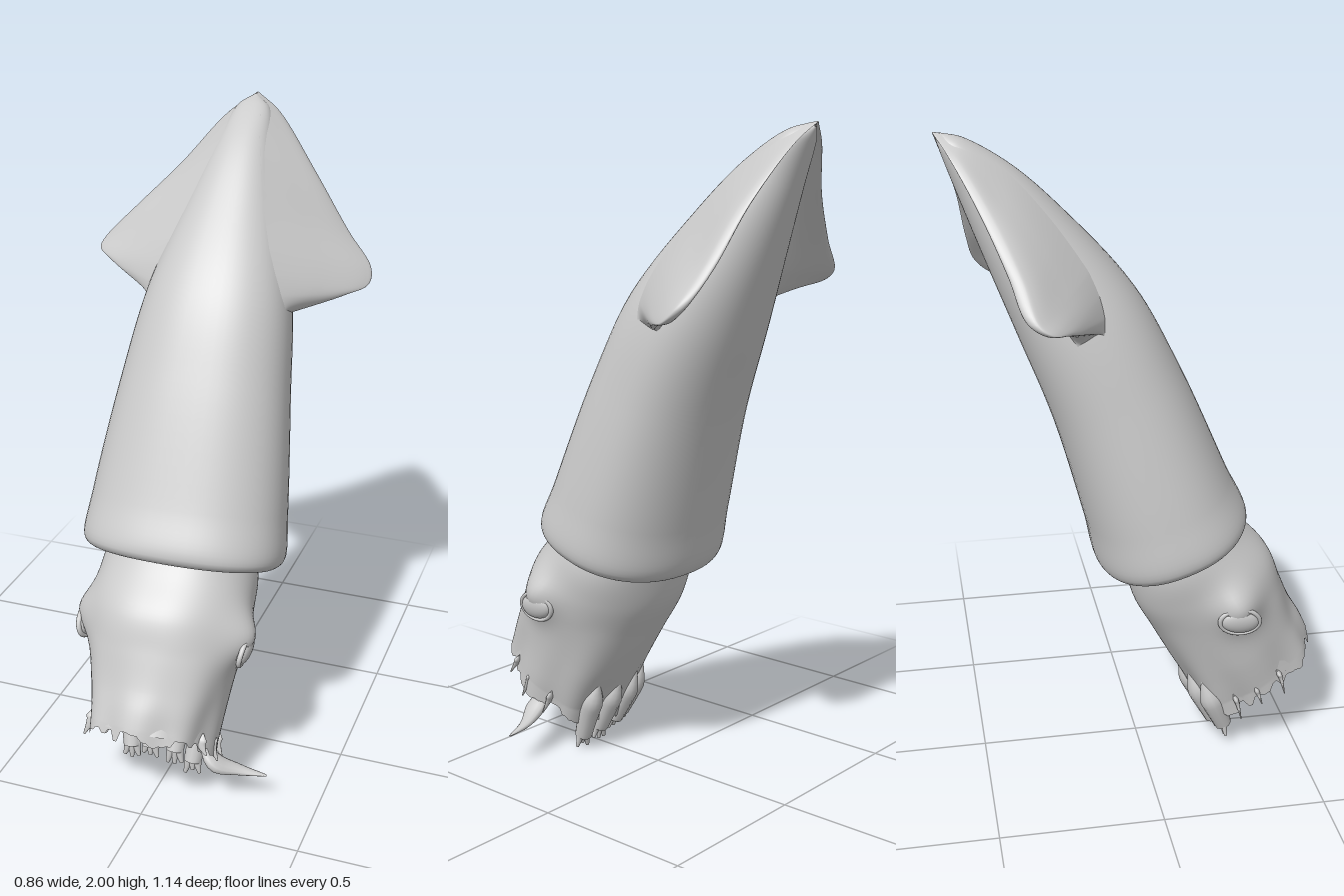
import * as THREE from 'three';

const V = (x, y, z) => new THREE.Vector3(x, y, z);
const { lerp, smoothstep } = THREE.MathUtils;
const TAU = Math.PI * 2;
const material = new THREE.MeshStandardMaterial({ color: 0xcccccc, side: THREE.DoubleSide });
const hash = (n) => { const s = Math.sin(n * 127.1 + 3.7) * 43758.5453; return s - Math.floor(s); };

// Surface from a rule fn(u, v); wrap joins the v ends smoothly
function grid(name, nu, nv, wrap, fn) {
  const pos = [], idx = [], cols = wrap ? nv : nv + 1;
  for (let i = 0; i <= nu; i++)
    for (let j = 0; j < cols; j++) pos.push(...fn(i / nu, j / nv, j).toArray());
  for (let i = 0; i < nu; i++)
    for (let j = 0; j < nv; j++) {
      const a = i * cols + j, b = i * cols + (j + 1) % cols;
      idx.push(a, b, b + cols, a, b + cols, a + cols);
    }
  const geo = new THREE.BufferGeometry();
  geo.setAttribute('position', new THREE.Float32BufferAttribute(pos, 3));
  geo.setIndex(idx);
  geo.computeVertexNormals();
  const mesh = new THREE.Mesh(geo, material);
  mesh.name = name;
  return mesh;
}

// Tilted oval sections: [frontY, frontZ, backY, backZ, halfWidth, centreX]
function sections(list) {
  const front = new THREE.CatmullRomCurve3(list.map((s) => V(s[4], s[0], s[1])));
  const back = new THREE.CatmullRomCurve3(list.map((s) => V(s[5] || 0, s[2], s[3])));
  const soft = (k) => Math.sign(k) * Math.pow(Math.abs(k), 0.88);
  return (u, a, k = 1) => {
    const f = front.getPoint(u), b = back.getPoint(u);
    const c = soft(Math.cos(a)) * k, s = soft(Math.sin(a)) * k;
    return V(b.x + f.x * s, (f.y + b.y) / 2 + (f.y - b.y) / 2 * c, (f.z + b.z) / 2 + (f.z - b.z) / 2 * c);
  };
}

// Strand swelling from a thin root, then tapering; flat squashes one axis
function strand(name, pts, r0, r1, flat = 1) {
  const curve = new THREE.CatmullRomCurve3(pts.map((p) => V(...p)));
  const n = 14, frames = curve.computeFrenetFrames(n);
  return grid(name, n, 12, true, (u, v) => {
    const i = Math.round(u * n), r = lerp(r0, r1, u) * smoothstep(u, -0.06, 0.4), a = v * TAU;
    return curve.getPoint(u)
      .addScaledVector(frames.normals[i], r * Math.cos(a))
      .addScaledVector(frames.binormals[i], r * flat * Math.sin(a));
  });
}

export function createModel() {
  const model = new THREE.Group();
  model.name = 'squid';

  // Mantle with a rolled hem
  const mantle = sections([
    [0.8, 0.27, 0.665, -0.035, 0.225],
    [0.785, 0.315, 0.64, -0.095, 0.285],
    [0.82, 0.338, 0.66, -0.125, 0.312],
    [0.95, 0.28, 0.8, -0.16, 0.303, 0.002],
    [1.29, 0.13, 1.13, -0.25, 0.26, 0.01],
    [1.53, 0, 1.4, -0.35, 0.22, 0.015],
    [1.76, -0.2, 1.64, -0.44, 0.145, 0.012],
    [1.9, -0.35, 1.82, -0.505, 0.09, 0.008],
    [1.98, -0.48, 1.95, -0.55, 0.05, 0.004],
    [1.998, -0.545, 1.985, -0.56, 0.005]]);
  model.add(grid('mantle', 72, 56, true, (u, v) => mantle(u, v * TAU)));

  // Tail fins: thick, rounded at the edge, blended into the mantle front
  const rootAt = [9, 8, 7, 6, 5.5, 5.25, 5.05, 4.9];
  const fin = (name, side, edgePts) => {
    const edge = new THREE.CatmullRomCurve3(edgePts.map((p) => V(...p)));
    model.add(grid(name, 56, 40, false, (u, v) => {
      const t = 1 - u, k = t * 7, i = Math.min(6, Math.floor(k));
      const s = lerp(rootAt[i], rootAt[i + 1], k - i) / 9;
      const e = edge.getPoint(t), thick = 0.055 * Math.sin(Math.PI * lerp(0.03, 0.98, t));
      const p0 = mantle(s, side * lerp(0.45, 1.4, t));
      const p2 = mantle(s, side * lerp(2, 1.75, t));
      const mid = p0.clone().lerp(e, 0.5).add(V(0, 0, thick * 0.2));
      const rim = p0.clone().lerp(e, 0.94).add(V(0, 0, thick * 0.25));
      const under = p2.clone().lerp(e, 0.9).add(V(0, 0, -thick * 0.6));
      const hollow = p2.clone().lerp(e, 0.45).add(V(0, 0, thick * 0.3));
      const profile = new THREE.CatmullRomCurve3([p0, mid, rim, e, under, hollow, p2]);
      return profile.getPoint(side > 0 ? v : 1 - v);
    }));
  };
  fin('leftFin', 1, [[0, 2, -0.565], [0.08, 1.945, -0.535], [0.22, 1.78, -0.475], [0.34, 1.615, -0.445],
    [0.42, 1.52, -0.42], [0.425, 1.48, -0.38], [0.37, 1.463, -0.3], [0.235, 1.43, -0.18]]);
  fin('rightFin', -1, [[0, 2, -0.565], [-0.08, 1.94, -0.51], [-0.2, 1.795, -0.425], [-0.33, 1.66, -0.365],
    [-0.42, 1.565, -0.335], [-0.43, 1.535, -0.3], [-0.38, 1.517, -0.25], [-0.205, 1.46, -0.14]]);

  // Head with swollen eye sockets, grooved into arms toward a torn rim
  const head = sections([
    [0.86, 0.24, 0.76, -0.05, 0.2],
    [0.76, 0.32, 0.64, -0.04, 0.238],
    [0.66, 0.42, 0.53, -0.015, 0.24],
    [0.56, 0.465, 0.42, 0.045, 0.23],
    [0.46, 0.505, 0.29, 0.115, 0.215],
    [0.4, 0.535, 0.2, 0.165, 0.203],
    [0.345, 0.56, 0.12, 0.205, 0.192]]);
  model.add(grid('head', 48, 96, true, (u, v, j) => {
    const t = 1 - u, a = v * TAU, low = Math.max(0, t - 0.45);
    const p = head(t, a, 1 + 0.06 * low * Math.cos(a * 8) + 0.012 * Math.sin(a * 3 + t * 9));
    const side = Math.sign(p.x);
    p.x += side * 0.05 * Math.exp(-p.distanceToSquared(V(side * 0.235, 0.565, 0.285)) / 0.006);
    if (u === 0) p.add(V(0, -0.04, 0.012).multiplyScalar(hash(Math.floor(j / 2))));
    return p;
  }));

  // Hollow inside the torn end
  const hollow = sections([
    [0.56, 0.3, 0.5, 0.15, 0.002],
    [0.54, 0.42, 0.42, 0.07, 0.19],
    [0.45, 0.49, 0.3, 0.13, 0.2],
    [0.345, 0.557, 0.125, 0.208, 0.188]]);
  model.add(grid('hollow', 20, 48, true, (u, v) => hollow(u, v * TAU)));

  // Arm stubs growing out of the back wall, with split ends
  [-0.12, -0.065, 0.015, 0.08].forEach((x, i) => {
    const y = 0.05 + 0.03 * hash(i + 2), z = 0.24 + x * x * 2;
    model.add(strand('armStub', [[x * 1.2, 0.26, 0.145 + x * x * 3], [x * 1.1, 0.15, 0.2 + x * x * 2.5],
      [x, y, z]], 0.042, 0.028));
    for (const d of [-1, 0, 1])
      model.add(strand('armShred', [[x + d * 0.01, y + 0.06, z - 0.01], [x + d * 0.015, y, z],
        [x + d * 0.024, y - 0.045 + 0.025 * hash(i * 3 + d), z + 0.005]], 0.022, 0.006, 0.8));
  });

  // Torn shreds at the sides of the rim
  for (const [a, length] of [[-2, 0.05], [-1.65, 0.03], [-1.3, 0.05], [1.2, 0.03], [1.55, 0.05], [1.95, 0.04]]) {
    const p = head(1, a);
    const end = p.clone().add(V(Math.sin(a) * 0.02, -length, 0.01));
    model.add(strand('rimShred', [head(0.92, a, 0.98).toArray(), p.toArray(), end.toArray()], 0.025, 0.003, 0.5));
  }

  // Long side flap
  model.add(strand('sideFlap', [[0.14, 0.21, 0.36], [0.19, 0.15, 0.36], [0.26, 0.122, 0.335], [0.345, 0.11, 0.32]],
    0.055, 0.004, 0.6));

  // Eyes: eyeball within almond lids
  for (const side of [-1, 1]) {
    const eye = new THREE.Group();
    eye.name = side > 0 ? 'leftEye' : 'rightEye';
    const ball = new THREE.Mesh(new THREE.SphereGeometry(1, 28, 18), material);
    ball.name = 'eyeball';
    ball.scale.set(0.022, 0.04, 0.06);
    const lid = new THREE.Mesh(new THREE.TorusGeometry(0.062, 0.008, 10, 32), material);
    lid.name = 'eyelid';
    lid.scale.y = 0.74;
    lid.rotation.y = Math.PI / 2;
    eye.add(ball, lid);
    eye.position.set(side * 0.257, 0.525, 0.28);
    eye.rotation.set(0.15, 0, side * -0.2);
    model.add(eye);
  }
  return model;
}
